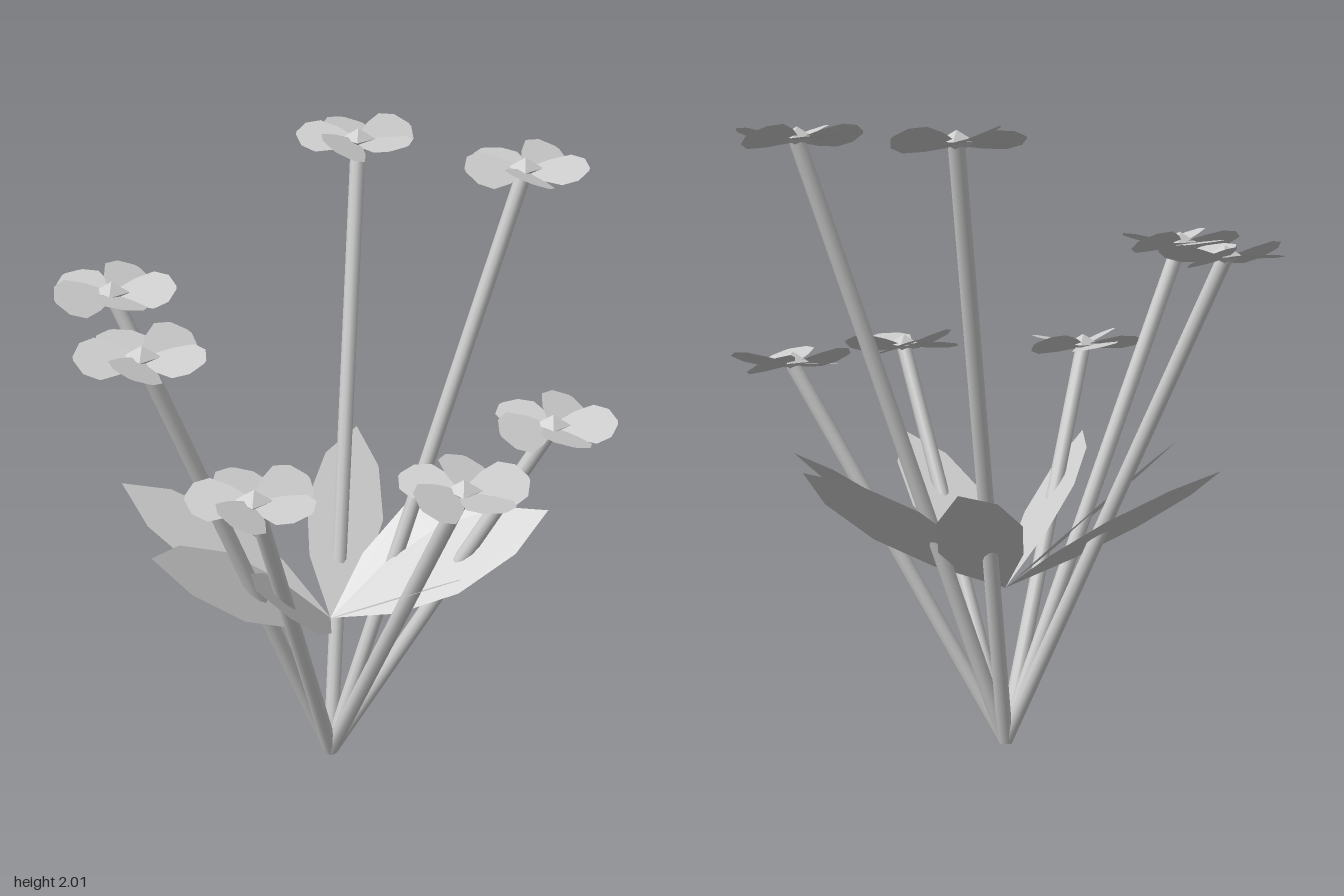
import * as THREE from 'three';

// Flower centres (x, y, z) and the turn of each ring of petals in degrees
const FLOWERS = [
  [0.03, 1.95, -0.59, 36],
  [0.56, 1.95, -0.32, -13],
  [0.67, 1.23, 0.0, 0],
  [0.4, 1.23, 0.47, 18],
  [-0.2, 1.23, 0.575, 43],
  [-0.535, 1.595, 0.4, 54],
  [-0.705, 1.595, -0.1, 4],
];

// Direction the upper faces of blades lean towards
const FACING = new THREE.Vector3(0.38, 1, 0.38);

// Half outlines along a blade: [fraction of length, half width]
const LEAF = [[0, 0], [0.28, 0.1], [0.55, 0.135], [0.82, 0.095], [1, 0]];
const PETAL = [[0, 0.012], [0.35, 0.06], [0.65, 0.083], [0.88, 0.06], [1, 0.008]];

// Flat blade from one point to another, mirrored about its midline
function blade(name, from, to, profile, material) {
  const u = to.clone().sub(from);
  const length = u.length();
  u.normalize();
  const n = FACING.clone().addScaledVector(u, -FACING.dot(u)).normalize();
  const side = n.clone().cross(u);
  const lower = profile.map(([t, w]) => new THREE.Vector2(t * length, -w));
  const upper = profile.map(([t, w]) => new THREE.Vector2(t * length, w)).reverse();
  const points = [...lower, ...upper].filter((p, i, a) => i === 0 || p.distanceTo(a[i - 1]) > 1e-6);
  if (points[0].distanceTo(points[points.length - 1]) < 1e-6) points.pop();
  const geometry = new THREE.ShapeGeometry(new THREE.Shape(points));
  geometry.applyMatrix4(new THREE.Matrix4().makeBasis(u, side, n).setPosition(from));
  const mesh = new THREE.Mesh(geometry, material);
  mesh.name = name;
  return mesh;
}

// Round stalk between two points
function stalk(from, to, material) {
  const dir = to.clone().sub(from);
  const mesh = new THREE.Mesh(new THREE.CylinderGeometry(0.025, 0.025, dir.length(), 10), material);
  mesh.name = 'stem';
  mesh.position.copy(from).addScaledVector(dir, 0.5);
  mesh.quaternion.setFromUnitVectors(new THREE.Vector3(0, 1, 0), dir.normalize());
  return mesh;
}

export function createModel() {
  const grey = new THREE.MeshStandardMaterial({ color: 0xcccccc, side: THREE.DoubleSide });
  grey.name = 'plain grey';
  const model = new THREE.Group();
  model.name = 'flowerBunch';

  const root = new THREE.Vector3(-0.02, 0.01, 0);
  const leafBase = new THREE.Vector3(-0.02, 0.52, 0);

  for (const [x, y, z, turn] of FLOWERS) {
    const top = new THREE.Vector3(x, y, z);
    model.add(stalk(root, top, grey));
    model.add(blade('leaf', leafBase, new THREE.Vector3(x, 0.94, z), LEAF, grey));

    // Flower head: five petals round a faceted bud
    const flower = new THREE.Group();
    flower.name = 'flower';
    flower.position.copy(top);
    for (let i = 0; i < 5; i++) {
      const a = THREE.MathUtils.degToRad(turn + i * 72);
      const tip = new THREE.Vector3(0.2 * Math.cos(a), 0.022, -0.2 * Math.sin(a));
      flower.add(blade('petal', new THREE.Vector3(), tip, PETAL, grey));
    }
    const bud = new THREE.Mesh(new THREE.OctahedronGeometry(0.056), grey);
    bud.name = 'bud';
    bud.scale.y = 0.6;
    bud.position.y = 0.008;
    flower.add(bud);
    model.add(flower);
  }
  return model;
}
